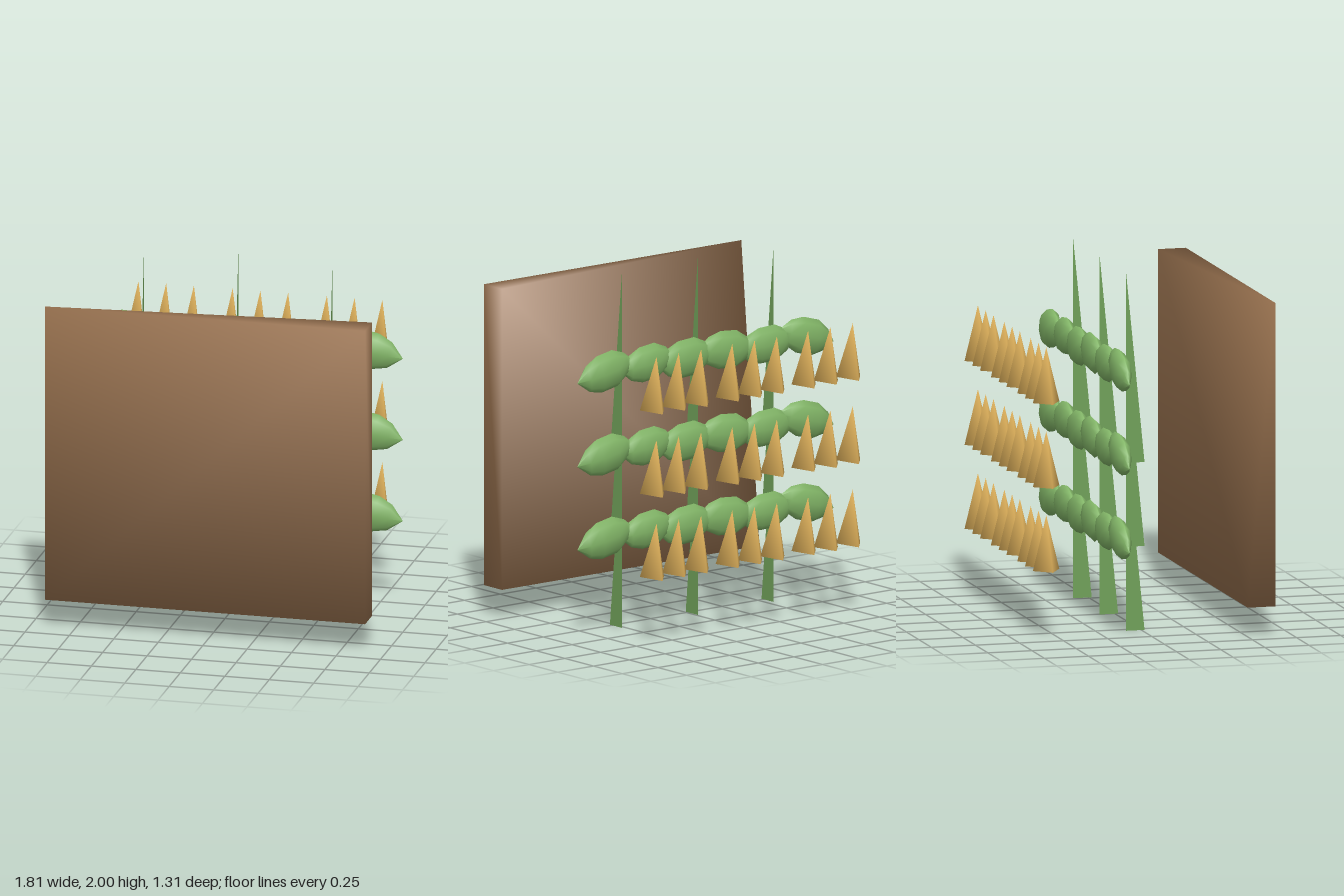
import * as THREE from 'three';
import { ConvexGeometry } from 'three/addons/geometries/ConvexGeometry.js';

const ROW_STEP = 0.465;
const COLUMN_STEP = 0.53;

const wood = new THREE.MeshStandardMaterial({ color: 0x9a7350 });
const leafGreen = new THREE.MeshStandardMaterial({ color: 0x83b768 });
const stemGreen = new THREE.MeshStandardMaterial({ color: 0x6fa058, side: THREE.DoubleSide });
const gold = new THREE.MeshStandardMaterial({ color: 0xe0b25c });

function meshFrom(points, index) {
  const g = new THREE.BufferGeometry();
  g.setAttribute('position', new THREE.Float32BufferAttribute(points, 3));
  g.setIndex(index);
  g.computeVertexNormals();
  return g;
}

function add(parent, name, geometry, material, x = 0, y = 0, z = 0) {
  const mesh = new THREE.Mesh(geometry, material);
  mesh.name = name;
  mesh.position.set(x, y, z);
  parent.add(mesh);
  return mesh;
}

// Board with its upper back corner at -x cut away; corner normals point
// diagonally outward for soft shading
function boardGeometry() {
  const corners = [];
  for (const x of [-1, 1]) for (const y of [-1, 1]) for (const z of [-1, 1]) {
    const cutAway = x < 0 && y > 0 && z < 0;
    if (!cutAway) corners.push(new THREE.Vector3(x * 0.9, y * 0.84, z * 0.079));
  }
  const g = new ConvexGeometry(corners);
  const normals = Array.from(g.attributes.position.array, (v) => Math.sign(v) / Math.sqrt(3));
  g.setAttribute('normal', new THREE.Float32BufferAttribute(normals, 3));
  return g;
}

// Plump pod lying along x, its ends pinched in z
function leafGeometry() {
  const profile = [[0, -1], [0.6, -0.72], [1, -0.33], [1, 0.22], [0.72, 0.62], [0, 1]];
  const points = profile.map(([r, y]) => new THREE.Vector2(r, y));
  const g = new THREE.LatheGeometry(points, 8).rotateZ(-Math.PI / 2);
  const p = g.attributes.position;
  for (let i = 0; i < p.count; i++) p.setZ(i, p.getZ(i) * (1 - 0.4 * p.getX(i) ** 2));
  return g;
}

export function createModel() {
  const model = new THREE.Group();
  model.name = 'plantPanel';

  add(model, 'board', boardGeometry(), wood, -0.01, 1.003, 0.577);

  // Flat tapering blade in the yz plane
  const blade = meshFrom([0, 0, 0.018, 0, 0, -0.088, 0, 1.07, -0.088], [0, 1, 2]);
  // Three-sided spike, point upward
  const spike = meshFrom(
    [-0.067, 0, 0.019, 0.015, 0, -0.072, 0.047, 0, 0.087, 0, 0.308, 0],
    [0, 2, 3, 2, 1, 3, 1, 0, 3, 0, 1, 2]
  );
  const leaf = leafGeometry();

  // Leaves per row: centre x, half length, half height, half depth, tilt
  const leaves = [
    [-0.7, 0.203, 0.1, 0.05, 0.28],
    [-0.42, 0.205, 0.1, 0.045, -0.05],
    [-0.14, 0.205, 0.105, 0.047, 0.08],
    [0.14, 0.205, 0.105, 0.047, -0.08],
    [0.41, 0.19, 0.1, 0.047, -0.12],
    [0.7, 0.2, 0.105, 0.05, -0.2],
  ];

  for (let row = 0; row < 3; row++) {
    const y = row * ROW_STEP;

    const vine = new THREE.Group();
    vine.name = 'leafRow';
    vine.position.set(0, 0.543 + y, -0.167);
    model.add(vine);
    leaves.forEach(([x, length, height, depth, tilt], i) => {
      const m = add(vine, 'leaf', leaf, leafGreen, x, i % 2 ? -0.005 : 0.005, 0);
      m.scale.set(length, height, depth);
      m.rotation.z = tilt;
    });

    for (let column = -1; column <= 1; column++) {
      const x = column * COLUMN_STEP - 0.01;
      add(model, 'stem', blade, stemGreen, x, y, 0);
      // Three spikes beside each stem
      for (let k = -1; k <= 1; k++) {
        add(model, 'spike', spike, gold, x + k * 0.156, 0.382 + y, -0.583);
      }
    }
  }
  return model;
}
